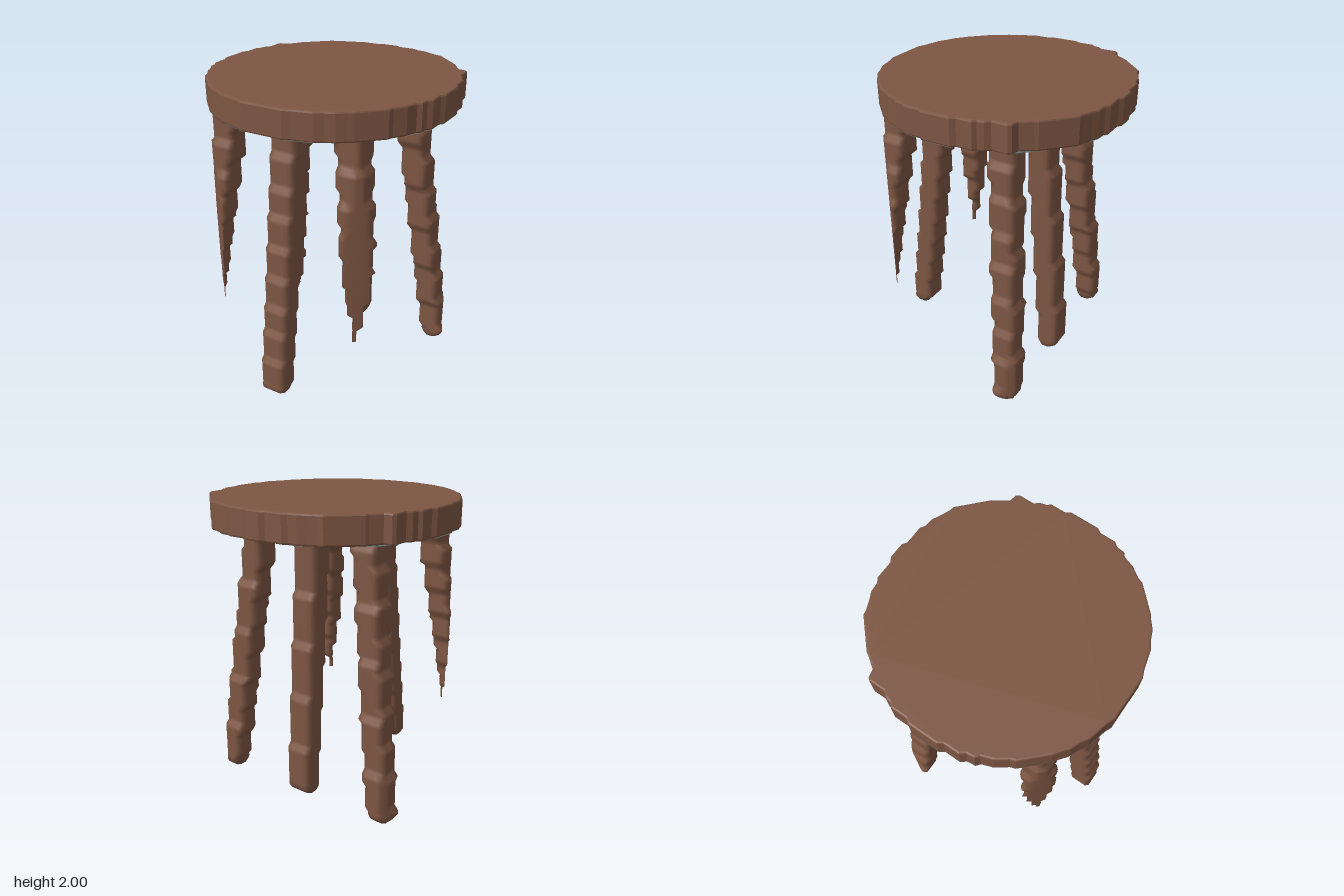
import * as THREE from 'three';

const STEP = 0.0256; // size of the carved stair steps
const HALF = 0.087; // half the thickness of a leg
const TOP = 1.9;
const UNDER = 1.818; // underside of the seat

// Half of the roughly hewn seat rim as [x, z], back to front
const RIM = [
  [0.05, -0.81], [0.08, -0.79], [0.2, -0.79], [0.23, -0.77], [0.29, -0.765], [0.34, -0.74],
  [0.4, -0.715], [0.43, -0.71], [0.6, -0.55], [0.61, -0.53], [0.66, -0.46], [0.71, -0.45],
  [0.725, -0.43], [0.725, -0.33], [0.75, -0.3], [0.76, -0.26], [0.78, -0.24], [0.78, -0.14],
  [0.8, -0.11], [0.8, 0.08], [0.78, 0.11], [0.78, 0.21], [0.755, 0.24], [0.75, 0.29],
  [0.725, 0.31], [0.7, 0.38], [0.65, 0.45], [0.64, 0.48], [0.5, 0.62], [0.47, 0.64],
  [0.42, 0.68], [0.36, 0.705], [0.31, 0.735], [0.25, 0.75], [0.19, 0.765], [0.14, 0.785],
];

function buildGeometry(pos, index) {
  const geo = new THREE.BufferGeometry();
  geo.setAttribute('position', new THREE.Float32BufferAttribute(pos, 3));
  geo.setIndex(index);
  geo.computeVertexNormals();
  return geo;
}

// Carved, stepped leg: square rings that snap sideways as it leans outwards,
// cut off where it would pass the rim radius.
function legGeometry(sx, sz, rim) {
  const snapX = v => (Math.floor(v / STEP) + 0.5) * STEP;
  const snapZ = v => Math.round(v / STEP) * STEP;
  const perSide = 6, count = perSide * 4, chamfer = 0.02;
  const pos = [], index = [];
  const rows = Math.round(TOP / STEP);
  let rings = 0, lastY = 0;

  for (let i = 0; i <= rows; i++) {
    const y = TOP * (1 - i / rows);
    const t = Math.max(0, 1 - y / 1.82);
    const cx = 0.43 + 0.21 * t;
    const cz = sz > 0 ? 0.49 + 0.235 * t : 0.255 + 0.13 * t;
    // the four faces step independently; the inner one flares under the seat
    const side = sx || 1;
    const flare = y > 1.78 ? STEP : 0;
    const inner = HALF - 0.02 * t;
    let x0 = sx ? snapX(cx - inner) - flare : -HALF;
    let x1 = sx ? snapX(cx + HALF) : HALF;
    let z0 = snapZ(cz - inner) - (sz < 0 ? flare : 0);
    let z1 = snapZ(cz + HALF);
    // rounded foot
    const foot = Math.max(0, 1 - y / 0.04);
    x0 += (sx ? 0.02 : 0.012) * foot;
    x1 -= (sx ? 0.045 : 0.012) * foot;
    z0 += 0.02 * foot;
    z1 -= 0.045 * foot;

    // innermost point of the ring, towards which overhanging points are cut back
    const ax = sx ? side * (x0 + chamfer / 2) : 0;
    const az = sz * (z0 + chamfer / 2);
    const room = rim * rim - ax * ax - az * az;
    if (room <= 0) break;

    const mx = side * (x0 + x1) / 2, mz = sz * (z0 + z1) / 2;
    const hx = (x1 - x0) / 2, hz = (z1 - z0) / 2;
    for (let s = 0; s < 4; s++) {
      const c = [1, 0, -1, 0][s], n = [0, 1, 0, -1][s];
      const out = s % 2 ? hz : hx, half = (s % 2 ? hx : hz) - chamfer;
      for (let k = 0; k < perSide; k++) {
        const along = half * (-1 + 2 * k / (perSide - 1));
        const dx = mx + out * c - along * n - ax;
        const dz = mz + out * n + along * c - az;
        const dd = dx * dx + dz * dz, ad = ax * dx + az * dz;
        const f = dd < 1e-9 ? 1 : Math.min(1, (Math.sqrt(ad * ad + dd * room) - ad) / dd);
        pos.push(ax + dx * f, y, az + dz * f);
      }
    }
    lastY = y;
    rings++;
  }

  for (let i = 0; i < rings - 1; i++) {
    for (let j = 0; j < count; j++) {
      const a = i * count + j, b = i * count + (j + 1) % count;
      index.push(a, b, a + count, b, b + count, a + count);
    }
  }
  // underside cap
  const last = (rings - 1) * count;
  let ex = 0, ez = 0;
  for (let j = 0; j < count; j++) {
    ex += pos[(last + j) * 3] / count;
    ez += pos[(last + j) * 3 + 2] / count;
  }
  pos.push(ex, lastY, ez);
  for (let j = 0; j < count; j++) index.push(rings * count, last + j, last + (j + 1) % count);
  return buildGeometry(pos, index);
}

// Flat outline in x and z, raised upwards from y
function plate(points, y, depth, bevel) {
  const shape = new THREE.Shape(points.map(([x, z]) => new THREE.Vector2(x, -z)));
  const geo = new THREE.ExtrudeGeometry(shape, {
    depth: depth - 2 * bevel, bevelEnabled: bevel > 0, bevelSize: bevel,
    bevelThickness: bevel, bevelOffset: -bevel, bevelSegments: 2,
  });
  geo.rotateX(-Math.PI / 2);
  geo.translate(0, y + bevel, 0);
  return geo;
}

const mirror = points => points.map(([x, z]) => [-x, z]);

// Thin worn strip wrapped around the lower edge of the rim
function edgeStrip(points) {
  const profile = [[1.003, UNDER + 0.014], [0.994, UNDER], [0.965, UNDER - 0.002]];
  const pos = [], index = [];
  points.forEach(([x, z], i) => {
    for (const [f, y] of profile) pos.push(x * f, y, z * f);
    if (i === 0) return;
    for (let k = 0; k < 2; k++) {
      const a = (i - 1) * 3 + k, b = a + 3;
      index.push(a, b, a + 1, b, b + 1, a + 1);
    }
  });
  return buildGeometry(pos, index);
}

export function createModel() {
  const model = new THREE.Group();
  model.name = 'stool';
  const wood = new THREE.MeshStandardMaterial({ color: 0x7d5643 });
  wood.name = 'brown wood';
  const worn = new THREE.MeshStandardMaterial({ color: 0x6e817e });
  worn.name = 'grey teal wear';

  const add = (name, geo, material) => {
    const mesh = new THREE.Mesh(geo, material);
    mesh.name = name;
    model.add(mesh);
  };

  add('seat', plate([...RIM, ...mirror(RIM).reverse()], UNDER, 0.182, 0.012), wood);

  // Two rows of three legs; the front corner legs are cut to points
  const sides = { Right: -1, Middle: 0, Left: 1 };
  for (const [side, sx] of Object.entries(sides)) {
    add(`front${side}Leg`, legGeometry(sx, 1, sx ? 0.79 : 0.805), wood);
    add(`back${side}Leg`, legGeometry(sx, -1, 0.81), wood);
  }

  // Worn patches under the seat, on both sides
  const patches = {
    cornerPatch: [[0.41, -0.4], [0.57, -0.56], [0.72, -0.41]],
    smallPatch: [[0.1, -0.38], [0.1, -0.42], [0.14, -0.41], [0.14, -0.37]],
  };
  for (const [name, points] of Object.entries(patches)) {
    add(`${name}Left`, plate(points, UNDER - 0.002, 0.004, 0), worn);
    add(`${name}Right`, plate(mirror(points), UNDER - 0.002, 0.004, 0), worn);
  }

  // Worn stretches of the rim: back, side and front
  const stretches = { back: [2, 6], side: [18, 26], front: [32, 36] };
  for (const [name, [from, to]] of Object.entries(stretches)) {
    const points = RIM.slice(from, to);
    add(`${name}EdgeLeft`, edgeStrip(points.slice().reverse()), worn);
    add(`${name}EdgeRight`, edgeStrip(mirror(points)), worn);
  }
  return model;
}
